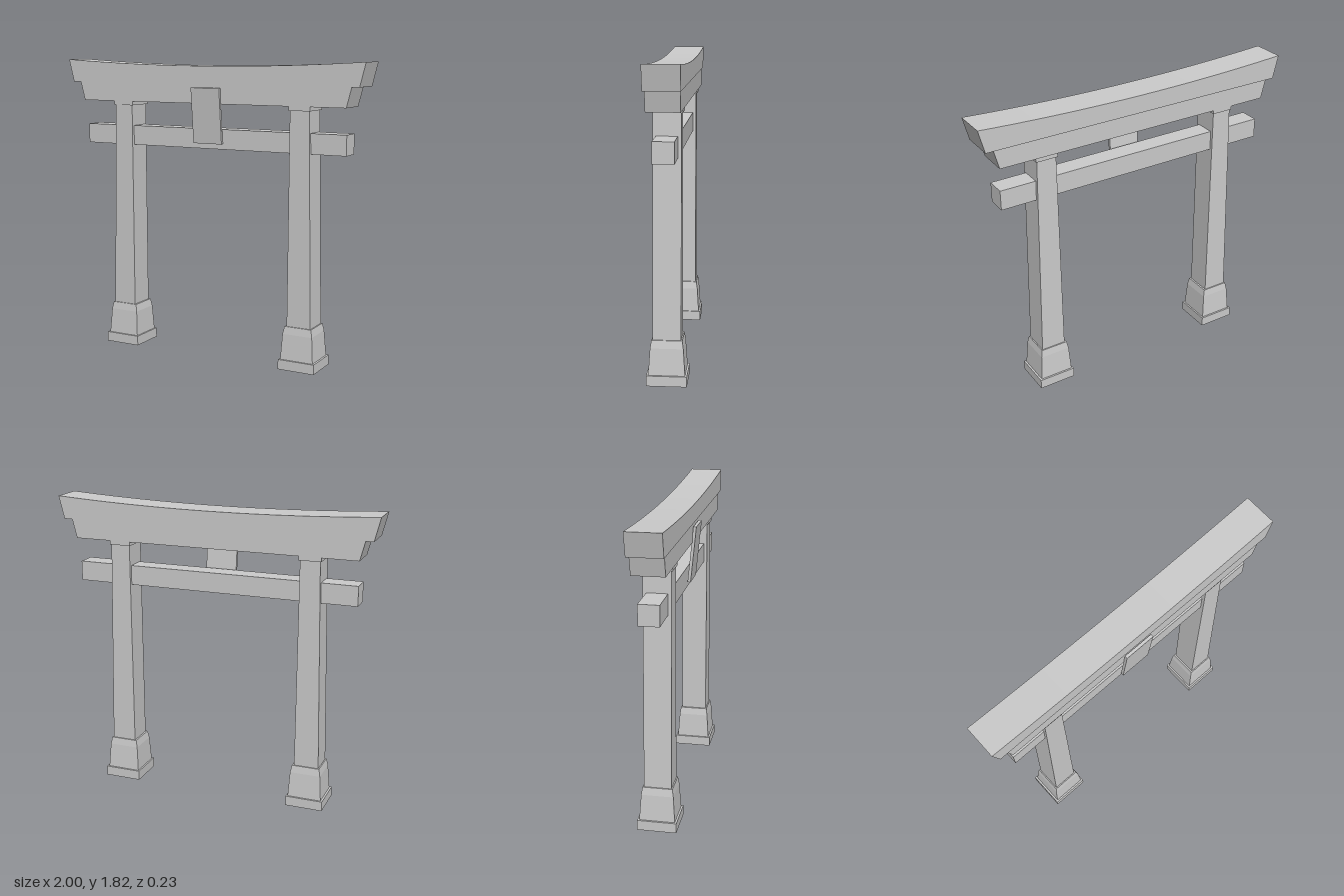
import * as THREE from 'three';

const material = new THREE.MeshStandardMaterial({ color: 0xcccccc, flatShading: true });

function addMesh(parent, name, geometry) {
  const mesh = new THREE.Mesh(geometry, material);
  mesh.name = name;
  parent.add(mesh);
  return mesh;
}

// Box between y0 and y1 whose x centre, half width and half depth change from bottom to top.
function taperedBox(y0, y1, bottom, top) {
  const geometry = new THREE.BoxGeometry(2, 1, 2);
  const p = geometry.attributes.position;
  for (let i = 0; i < p.count; i++) {
    const upper = p.getY(i) > 0;
    const [cx, hx, hz] = upper ? top : bottom;
    p.setXYZ(i, cx + p.getX(i) * hx, upper ? y1 : y0, p.getZ(i) * hz);
  }
  geometry.computeVertexNormals();
  return geometry;
}

// Top lintel: straight underside, slanted ends, gently upswept top.
function lintelGeometry() {
  const shape = new THREE.Shape();
  shape.moveTo(-0.965, 1.676);
  shape.lineTo(0.965, 1.676);
  const steps = 24;
  for (let i = 0; i <= steps; i++) {
    const x = 1 - (2 * i) / steps;
    shape.lineTo(x, 1.783 + 0.032 * x * x);
  }
  shape.closePath();
  const geometry = new THREE.ExtrudeGeometry(shape, { depth: 0.2, bevelEnabled: false });
  geometry.translate(0, 0, -0.1);
  return geometry;
}

export function createModel() {
  const group = new THREE.Group();
  group.name = 'gate';

  // Beams
  addMesh(group, 'topLintel', lintelGeometry());
  addMesh(group, 'lowerLintel', taperedBox(1.56, 1.676, [0, 0.887, 0.093], [0, 0.917, 0.093]));
  addMesh(group, 'tieBeam', taperedBox(1.288, 1.408, [0, 0.881, 0.06], [0, 0.881, 0.06]));

  // Posts lean inwards on their outer side only
  for (const side of [-1, 1]) {
    const post = new THREE.Group();
    post.name = side > 0 ? 'leftPost' : 'rightPost';
    group.add(post);
    const part = (name, y0, y1, [bx, bhx, bhz], [tx, thx, thz]) =>
      addMesh(post, name, taperedBox(y0, y1, [side * bx, bhx, bhz], [side * tx, thx, thz]));

    part('baseSlab', 0, 0.06, [0.611, 0.115, 0.115], [0.611, 0.115, 0.115]);
    part('baseBlock', 0.06, 0.215, [0.61, 0.104, 0.104], [0.609, 0.094, 0.094]);
    part('baseShoulder', 0.215, 0.26, [0.609, 0.094, 0.094], [0.609, 0.085, 0.087]);
    part('shaft', 0.26, 1.535, [0.611, 0.076, 0.08], [0.599, 0.06, 0.079]);
    part('cap', 1.535, 1.56, [0.599, 0.067, 0.087], [0.599, 0.067, 0.087]);
  }

  // Plaque leaning forward at the top
  const plaque = addMesh(group, 'plaque', new THREE.BoxGeometry(0.192, 0.336, 0.018));
  plaque.position.set(0, 1.488, 0.091);
  plaque.rotation.x = 0.1;

  return group;
}
